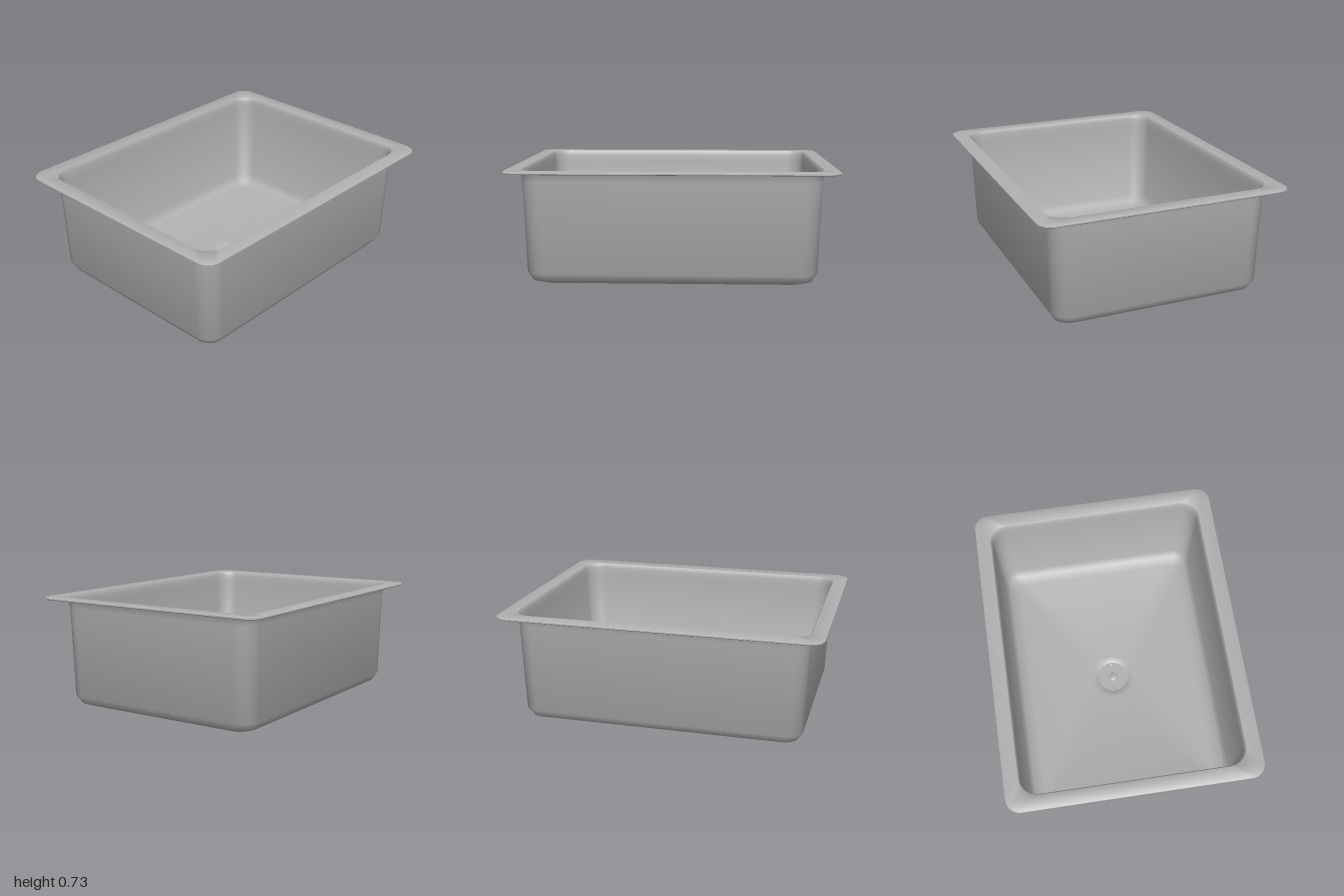
import * as THREE from 'three';
import { toCreasedNormals } from 'three/addons/utils/BufferGeometryUtils.js';

const CORNER_STEPS = 8;

// Rounded-rectangle ring: half width w, half depth d, corner radius r, height y
function ring([w, d, r, y]) {
  const points = [];
  for (let c = 0; c < 4; c++) {
    const sx = c === 0 || c === 3 ? 1 : -1;
    const sz = c < 2 ? 1 : -1;
    for (let i = 0; i <= CORNER_STEPS; i++) {
      const a = (c + i / CORNER_STEPS) * Math.PI / 2;
      points.push(sx * (w - r) + r * Math.cos(a), y, sz * (d - r) + r * Math.sin(a));
    }
  }
  return points;
}

// Skin a surface through successive rings
function loft(rings) {
  const n = 4 * (CORNER_STEPS + 1);
  const index = [];
  for (let k = 0; k < rings.length - 1; k++) {
    for (let i = 0; i < n; i++) {
      const j = (i + 1) % n;
      const a0 = k * n + i, a1 = k * n + j;
      index.push(a0, a1, a0 + n, a1, a1 + n, a0 + n);
    }
  }
  const geometry = new THREE.BufferGeometry();
  geometry.setAttribute('position', new THREE.Float32BufferAttribute(rings.flatMap(ring), 3));
  geometry.setIndex(index);
  return toCreasedNormals(geometry, 0.85);
}

const circle = (r, y) => [r, r, r, y];

export function createModel() {
  const model = new THREE.Group();
  const steel = new THREE.MeshStandardMaterial({ color: 0xb0b0b0 });
  steel.name = 'brushed steel';

  const add = (name, geometry, parent = model) => {
    const mesh = new THREE.Mesh(geometry, steel);
    mesh.name = name;
    parent.add(mesh);
    return mesh;
  };

  // Basin shell: up the inside, over the flat rim, down the outside
  add('basin', loft([
    circle(0, 0.008), circle(0.075, 0.008), circle(0.1, 0.013), circle(0.112, 0.024),
    circle(0.15, 0.029),
    [0.785, 0.57, 0.06, 0.035],
    [0.847, 0.637, 0.085, 0.058],
    [0.876, 0.666, 0.1, 0.106],
    [0.896, 0.682, 0.11, 0.66],
    [0.9, 0.685, 0.11, 0.7],
    [0.904, 0.69, 0.11, 0.723],
    [0.91, 0.695, 0.112, 0.73],
    [0.995, 0.782, 0.088, 0.73],
    [1, 0.787, 0.09, 0.726],
    [1, 0.787, 0.09, 0.719],
    [0.995, 0.782, 0.088, 0.715],
    [0.918, 0.705, 0.118, 0.715],
    [0.91, 0.698, 0.115, 0.7],
    [0.905, 0.69, 0.115, 0.66],
    [0.885, 0.675, 0.105, 0.1],
    [0.855, 0.645, 0.09, 0.05],
    [0.79, 0.575, 0.06, 0.025],
    circle(0.15, 0.017), circle(0.11, 0.012), circle(0.075, 0.008),
    circle(0.07, 0), circle(0.05, 0), circle(0.045, 0.004), circle(0, 0.004),
  ]));

  // Drain strainer: a thin disc with four edge slots, a low hub and ribs
  const strainer = new THREE.Group();
  strainer.name = 'drainStrainer';
  model.add(strainer);

  const disc = new THREE.Shape().absarc(0, 0, 0.103, 0, Math.PI * 2);
  for (let i = 0; i < 4; i++) {
    const a = i * Math.PI / 2;
    const slot = new THREE.Path();
    slot.absarc(0.086 * Math.cos(a), 0.086 * Math.sin(a), 0.011, 0, Math.PI * 2, true);
    disc.holes.push(slot);
  }
  const plate = new THREE.ExtrudeGeometry(disc, { depth: 0.005, bevelEnabled: false, curveSegments: 16 });
  plate.rotateX(-Math.PI / 2);
  add('strainerPlate', plate, strainer).position.y = 0.015;

  const hub = [[0.03, 0], [0.026, 0.006], [0.012, 0.009], [0, 0.01]];
  add('strainerHub', new THREE.LatheGeometry(hub.map(p => new THREE.Vector2(...p)), 20), strainer)
    .position.y = 0.02;

  for (let i = 0; i < 4; i++) {
    const a = (i + 0.5) * Math.PI / 2;
    const rib = add('strainerRib', new THREE.BoxGeometry(0.04, 0.004, 0.008), strainer);
    rib.position.set(0.045 * Math.cos(a), 0.021, -0.045 * Math.sin(a));
    rib.rotation.y = a;
  }
  return model;
}
